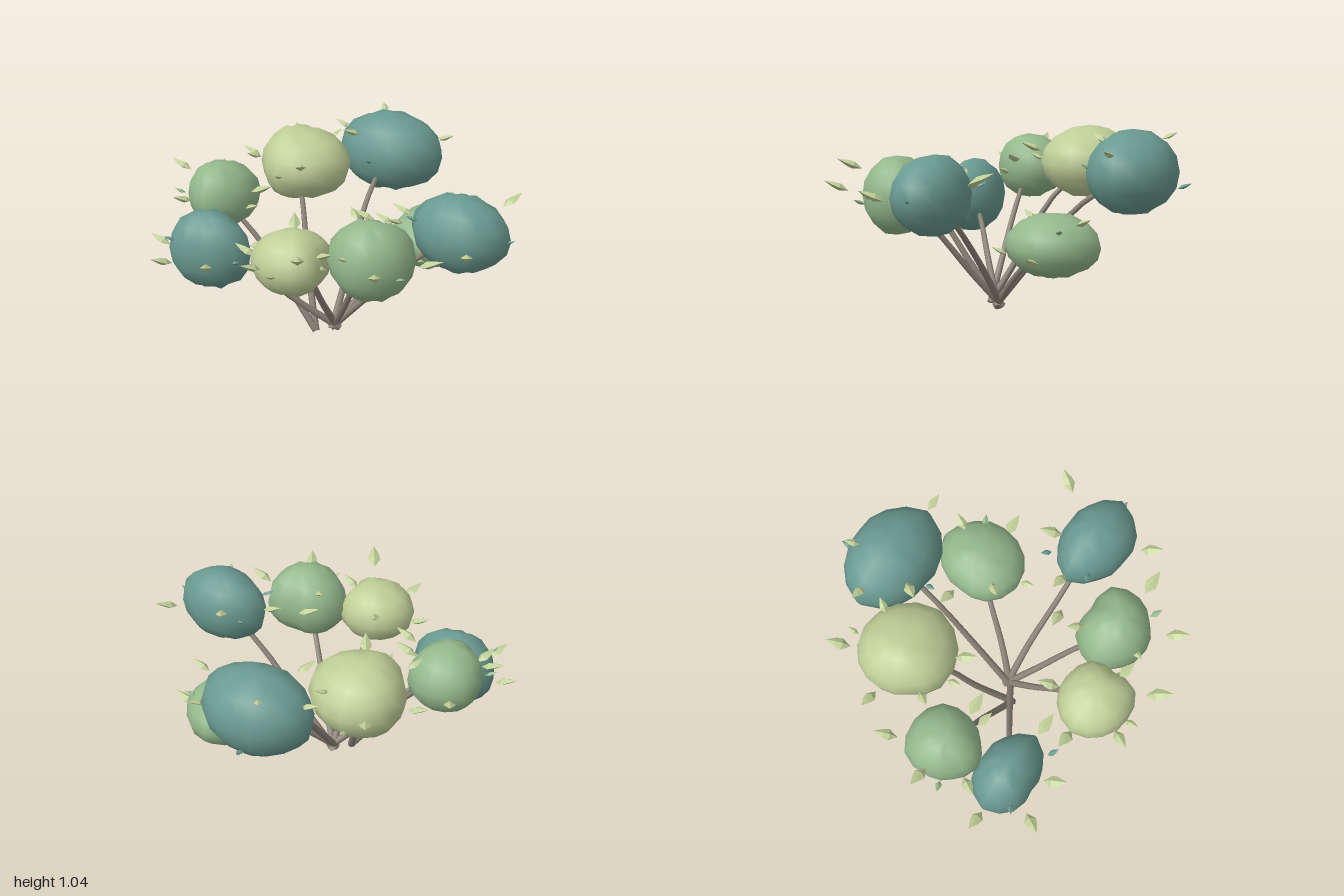
import * as THREE from 'three';
import { mergeVertices } from 'three/addons/utils/BufferGeometryUtils.js';

const mat = (name, color) => {
  const m = new THREE.MeshStandardMaterial({ color });
  m.name = name;
  return m;
};

// Rounded leaf clump: eight footprint radii around the pole (from +x toward +z)
function clumpGeometry(bottom, top, radii, seed) {
  const geo = new THREE.SphereGeometry(1, 16, 8);
  geo.deleteAttribute('uv');
  geo.deleteAttribute('normal');
  const merged = mergeVertices(geo, 1e-4);
  const p = merged.attributes.position;
  const ry = (top - bottom) / 2;
  for (let i = 0; i < p.count; i++) {
    const x = p.getX(i), y = p.getY(i), z = p.getZ(i);
    const angle = (Math.atan2(z, x) / (Math.PI / 4) + 8) % 8;
    const k = Math.floor(angle), f = angle - k;
    const r = radii[k % 8] * (1 - f) + radii[(k + 1) % 8] * f;
    const flat = Math.hypot(x, z);
    const bump = 1 + 0.035 * Math.sin(seed * 5 + 3 * angle + y * 4) * (1 - flat * flat);
    const full = flat > 1e-3 ? Math.pow(flat, -0.1) * bump : 0;
    // creases gathered around the poles
    const crease = flat < 0.5 ? 0.04 * Math.sin(seed * 3 + angle * 4.7) : 0;
    const lift = flat < 1e-3 ? 1 : 0.96 + 0.03 * Math.sin(seed + angle * 2.4) * flat + crease;
    p.setXYZ(i, x * r * full, y * ry * lift, z * r * full);
  }
  merged.computeVertexNormals();
  return merged;
}

// Flat four-sided bud, widest near its inner end, pointing along +z
function budGeometry() {
  const profile = [[0, -0.065], [0.033, -0.015], [0.025, 0.02], [0, 0.075]];
  let geo = new THREE.LatheGeometry(profile.map(([x, y]) => new THREE.Vector2(x, y)), 4);
  geo.rotateX(Math.PI / 2).scale(1, 0.6, 1);
  geo = geo.toNonIndexed();
  geo.computeVertexNormals();
  return geo;
}

// Tapered stem along a curve
function stemGeometry(curve) {
  const rings = 10, sides = 7;
  const geo = new THREE.TubeGeometry(curve, rings, 0.021, sides);
  const p = geo.attributes.position, v = new THREE.Vector3();
  for (let i = 0; i < p.count; i++) {
    const u = Math.floor(i / (sides + 1)) / rings;
    const c = curve.getPointAt(u);
    v.fromBufferAttribute(p, i).sub(c).multiplyScalar(1 - 0.4 * u).add(c);
    p.setXYZ(i, v.x, v.y, v.z);
  }
  return geo;
}

export function createModel() {
  const root = new THREE.Group();
  root.name = 'shrub';
  const teal = mat('teal leaves', 0x6a9a90);
  const green = mat('green leaves', 0x94b88c);
  const light = mat('light leaves', 0xc0cf98);
  const bark = mat('bark', 0x8c8478);
  const bud = budGeometry();
  let count = 0;

  const add = (parent, name, geo, material) => {
    const m = new THREE.Mesh(geo, material);
    m.name = name;
    parent.add(m);
    return m;
  };

  // One branch: pole x/z, bottom and top height, footprint, stem points, buds as [x, z, y, size]
  function branch(name, material, [x, z, bottom, top], radii, stem, buds) {
    const g = new THREE.Group();
    g.name = name;
    root.add(g);
    const cy = (bottom + top) / 2;
    add(g, 'leafClump', clumpGeometry(bottom, top, radii, ++count), material).position.set(x, cy, z);

    const points = stem.map((s) => new THREE.Vector3(...s));
    points.push(new THREE.Vector3(x, cy, z));
    const curve = new THREE.CatmullRomCurve3(points);
    add(g, 'stem', stemGeometry(curve), bark);
    const cap = add(g, 'stemEnd', new THREE.CircleGeometry(0.021, 7), bark);
    cap.position.copy(points[0]);
    cap.lookAt(points[0].clone().sub(curve.getTangentAt(0)));

    for (const [bx, bz, by, size] of buds) {
      const b = add(g, 'bud', bud, size < 0.6 ? material : light);
      const out = new THREE.Vector3(bx - x, 0, bz - z).normalize();
      b.position.set(bx, by, bz);
      b.scale.setScalar(size);
      b.lookAt(bx + out.x, by + 0.42, bz + out.z);
    }
  }

  const sideBase = [-0.12, 0.015, 0.18];

  branch('backBranch', teal, [-0.07, -0.67, 0.58, 1.04],
    [0.33, 0.27, 0.22, 0.25, 0.31, 0.265, 0.24, 0.275],
    [[-0.05, 0.015, 0.12], [-0.06, 0.36, -0.16], [-0.07, 0.6, -0.36]],
    [[-0.13, -0.94, 0.74, 0.59], [-0.18, -0.84, 1.0, 0.65], [-0.36, -0.66, 0.93, 0.8],
      [0.28, -0.66, 0.94, 0.75], [-0.2, -0.44, 0.97, 0.9], [-0.08, -0.41, 0.82, 0.5]]);

  branch('backRightBranch', light, [-0.47, -0.28, 0.6, 1.01],
    [0.32, 0.29, 0.26, 0.2, 0.21, 0.24, 0.27, 0.29],
    [sideBase, [-0.26, 0.36, 0.01], [-0.33, 0.58, -0.09]],
    [[-0.63, -0.58, 0.87, 1], [-0.51, -0.59, 0.78, 0.5], [-0.34, -0.51, 0.92, 0.65],
      [-0.76, -0.28, 0.82, 0.9], [-0.61, -0.04, 0.9, 0.75], [-0.43, 0.02, 0.82, 0.65],
      [-0.3, 0, 0.89, 0.95]]);

  branch('backLeftBranch', green, [0.32, -0.38, 0.29, 0.63],
    [0.24, 0.25, 0.26, 0.24, 0.2, 0.22, 0.26, 0.24],
    [[-0.06, 0.015, 0.12], [0.07, 0.2, -0.04], [0.18, 0.35, -0.2]],
    [[0.4, -0.57, 0.6, 0.8], [0.5, -0.48, 0.56, 0.55], [0.62, -0.38, 0.42, 1],
      [0.03, -0.39, 0.5, 0.95], [0.19, -0.19, 0.59, 0.8], [0.38, -0.1, 0.42, 0.65]]);

  branch('leftBranch', teal, [0.69, 0.12, 0.53, 0.95],
    [0.28, 0.24, 0.2, 0.21, 0.27, 0.2, 0.17, 0.2],
    [[-0.06, 0.015, 0.09], [0.16, 0.25, 0.09], [0.38, 0.48, 0.11]],
    [[0.86, -0.18, 0.84, 1], [0.57, -0.08, 0.82, 1], [0.47, -0.04, 0.78, 0.5],
      [0.37, 0.12, 0.81, 0.9], [0.47, 0.23, 0.82, 0.55], [0.84, 0.4, 0.74, 1],
      [0.96, 0.13, 0.74, 0.5], [0.2, 0.23, 0.79, 0.95]]);

  branch('rightBranch', green, [-0.7, 0.19, 0.54, 0.92],
    [0.19, 0.17, 0.19, 0.17, 0.19, 0.23, 0.23, 0.23],
    [sideBase, [-0.28, 0.24, 0.18], [-0.45, 0.48, 0.18]],
    [[-0.85, -0.1, 0.77, 0.95], [-0.94, 0.19, 0.87, 0.95], [-0.9, 0.28, 0.75, 0.5],
      [-0.45, 0.18, 0.8, 1], [-0.47, 0.25, 0.72, 0.75], [-0.81, 0.4, 0.76, 0.9]]);

  branch('frontRightBranch', teal, [-0.59, 0.5, 0.33, 0.77],
    [0.25, 0.18, 0.15, 0.2, 0.235, 0.2, 0.165, 0.19],
    [[-0.02, 0.015, 0.09], [-0.23, 0.22, 0.24], [-0.41, 0.42, 0.37]],
    [[-0.89, 0.51, 0.55, 0.95], [-0.73, 0.75, 0.55, 1], [-0.48, 0.72, 0.55, 1],
      [-0.28, 0.51, 0.64, 1], [-0.36, 0.62, 0.56, 0.5], [-0.75, 0.63, 0.63, 0.5]]);

  branch('frontBranch', light, [0, 0.64, 0.48, 0.82],
    [0.165, 0.21, 0.2, 0.215, 0.235, 0.215, 0.2, 0.205],
    [[-0.045, 0.015, 0.08], [-0.04, 0.24, 0.26], [-0.03, 0.5, 0.45]],
    [[-0.12, 0.41, 0.76, 0.95], [-0.28, 0.64, 0.66, 1], [-0.12, 0.87, 0.69, 0.95],
      [-0.01, 0.87, 0.66, 0.65], [0.165, 0.91, 0.8, 1.1], [0.19, 0.69, 0.74, 0.85]]);

  branch('frontLeftBranch', green, [0.37, 0.51, 0.46, 0.89],
    [0.21, 0.18, 0.19, 0.2, 0.245, 0.23, 0.185, 0.24],
    [[-0.06, 0.015, 0.08], [0.07, 0.22, 0.21], [0.21, 0.46, 0.35]],
    [[0.2, 0.35, 0.84, 0.75], [0.69, 0.51, 0.72, 1.05], [0.58, 0.62, 0.66, 0.55],
      [0.52, 0.79, 0.73, 1], [0.3, 0.68, 0.74, 0.65], [0.16, 0.67, 0.66, 0.65]]);

  return root;
}
